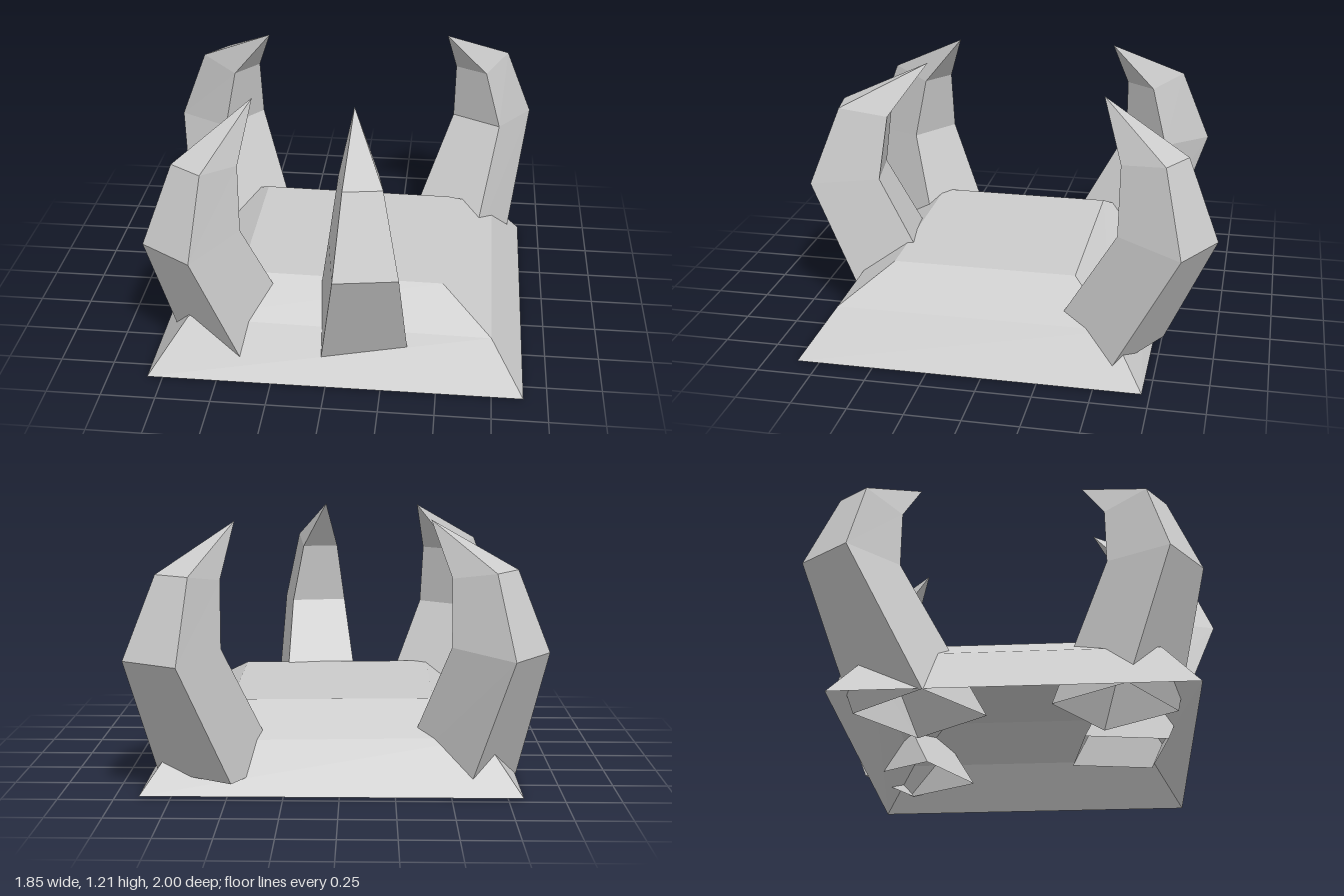
import * as THREE from 'three';

const material = new THREE.MeshStandardMaterial({ color: 0xcccccc, flatShading: true, side: THREE.DoubleSide });

// Skins four-cornered rings, listed bottom to top, each anticlockwise seen from above
function loft(rings, closeTop) {
  const pos = [];
  const quad = (a, b, c, d) => pos.push(...a, ...b, ...c, ...a, ...c, ...d);
  for (let r = 0; r < rings.length - 1; r++) {
    const lo = rings[r], hi = rings[r + 1];
    for (let i = 0; i < 4; i++) {
      const j = (i + 1) % 4;
      quad(lo[i], lo[j], hi[j], hi[i]);
    }
  }
  if (closeTop) quad(...rings[rings.length - 1]);
  const geo = new THREE.BufferGeometry();
  geo.setAttribute('position', new THREE.Float32BufferAttribute(pos, 3));
  geo.computeVertexNormals();
  return geo;
}

// Base ring: a rectangle, with heights at its left and right sides
const rect = (y0, y1, x0, x1, z0, z1) => [[x0, y0, z1], [x1, y1, z1], [x1, y1, z0], [x0, y0, z0]];

// Claw ring: outer and inner edges, each [half width, height, outward offset], moved sideways by s
const clawRing = ([ow, oy, oz], [iw, iy, iz], s) =>
  [[s - ow, oy, oz], [s + ow, oy, oz], [s + iw, iy, iz], [s - iw, iy, iz]];

// Curved claw, open at the foot, its outermost bend at local z = 0.
// The foot has a height, a sideways and an outward shift; the tip a sideways shift.
function clawGeometry({ footY, footSide, footOut, tipSide }) {
  const w = 0.21 - 0.1 * footY;
  return loft([
    clawRing([w, footY, -0.30 + 0.45 * footY + footOut], [w, footY, -0.70 + 0.57 * footY + footOut], footSide),
    clawRing([0.142, 0.65, 0], [0.138, 0.675, -0.33], 0),
    clawRing([0.087, 1.01, -0.142], [0.089, 0.97, -0.371], tipSide * 0.35),
    clawRing([0, 1.21, -0.56], [0, 1.21, -0.56], tipSide),
  ], false);
}

export function createModel() {
  const model = new THREE.Group();

  // Hollow stepped base, open underneath
  const base = new THREE.Mesh(loft([
    rect(0.005, 0.005, -0.82, 0.893, -0.715, 0.85),
    rect(0.24, 0.22, -0.65, 0.74, -0.56, 0.70),
    rect(0.375, 0.365, -0.43, 0.51, -0.36, 0.49),
  ], true), material);
  base.name = 'base';
  model.add(base);

  // Claw placement: position of the outer bend, outward direction, and shape shifts
  const claws = [
    { name: 'frontLeftClaw', at: [0.19, 0.975], out: [0.159, 0.987],
      footY: 0.05, footSide: 0.02, footOut: 0.015, tipSide: -0.01 },
    { name: 'frontRightClaw', at: [-0.70, 0.83], out: [-0.555, 0.832],
      footY: 0.05, footSide: 0.03, footOut: 0.055, tipSide: 0.02 },
    { name: 'backRightClaw', at: [-0.84, -0.753], out: [-0.798, -0.603],
      footY: 0, footSide: 0.14, footOut: 0.02, tipSide: 0.026 },
    { name: 'backLeftClaw', at: [0.797, -0.93], out: [0.489, -0.872],
      footY: 0.08, footSide: 0, footOut: -0.035, tipSide: 0.058 },
  ];
  for (const spec of claws) {
    const claw = new THREE.Mesh(clawGeometry(spec), material);
    claw.name = spec.name;
    claw.position.set(spec.at[0], 0, spec.at[1]);
    claw.rotation.y = Math.atan2(...spec.out);
    model.add(claw);
  }
  return model;
}
